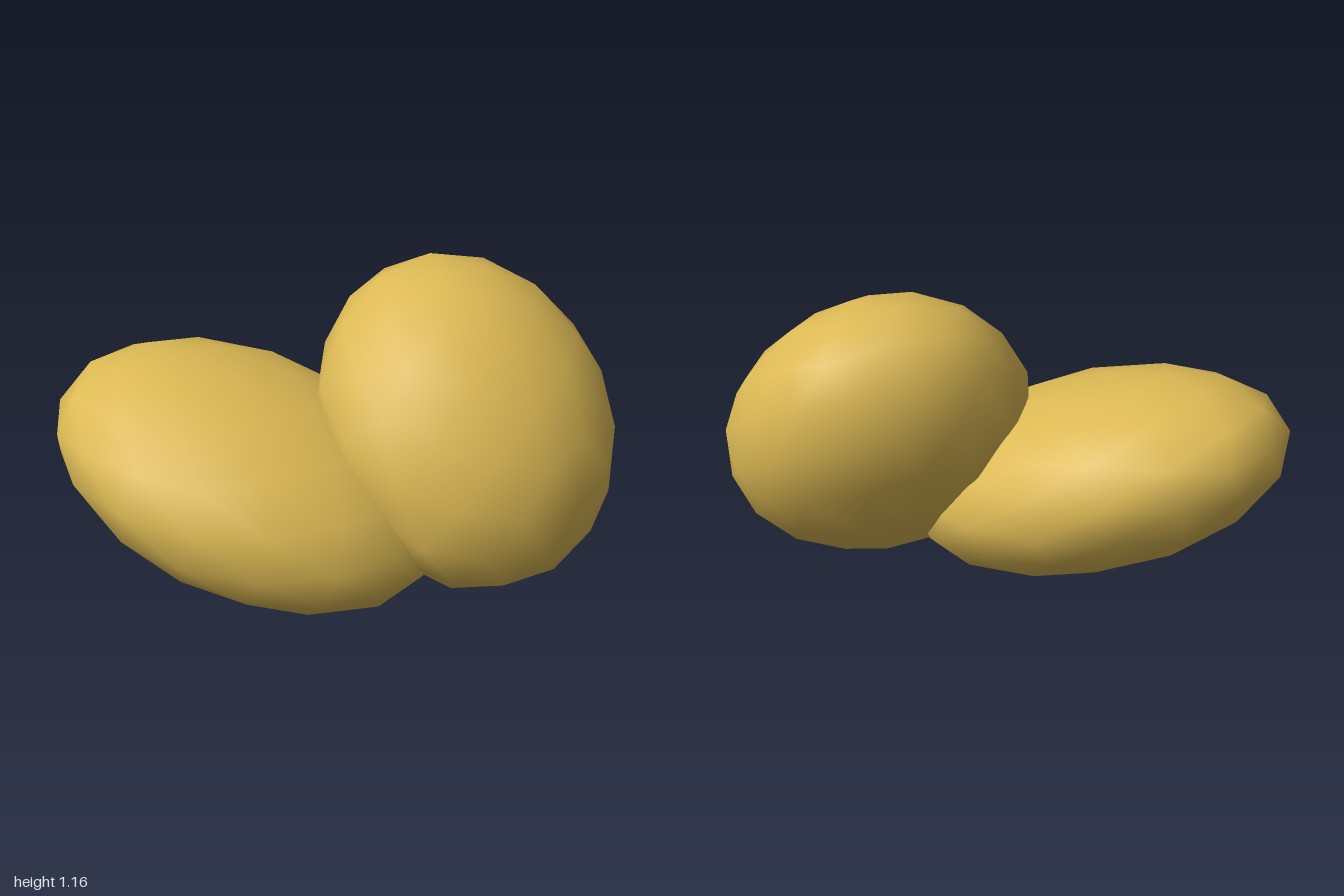
import * as THREE from 'three';
import { mergeVertices } from 'three/addons/utils/BufferGeometryUtils.js';

const gold = new THREE.MeshStandardMaterial({ color: 0xdcb954 });
gold.name = 'gold';

// Placement of a flattened pebble: radii along a long direction, a thin direction and their cross product
function placement(center, long, thin, radii) {
  const x = new THREE.Vector3(...long).normalize();
  const z = new THREE.Vector3().crossVectors(x, new THREE.Vector3(...thin)).normalize();
  const y = new THREE.Vector3().crossVectors(z, x);
  return new THREE.Matrix4().makeBasis(x, y, z)
    .scale(new THREE.Vector3(...radii)).setPosition(...center);
}

// Coarse, smoothly shaded pebble with a flat underside on the ground
function pebble(name, matrix, reshape) {
  let geometry = new THREE.IcosahedronGeometry(1, 2);
  geometry.deleteAttribute('uv');
  geometry.deleteAttribute('normal');
  geometry = mergeVertices(geometry).applyMatrix4(matrix);
  const p = geometry.attributes.position;
  const v = new THREE.Vector3();
  for (let i = 0; i < p.count; i++) {
    reshape(v.fromBufferAttribute(p, i));
    p.setXYZ(i, v.x, Math.max(v.y, 0), v.z);
  }
  geometry.computeVertexNormals();
  const mesh = new THREE.Mesh(geometry, gold);
  mesh.name = name;
  return mesh;
}

export function createModel() {
  const group = new THREE.Group();
  group.name = 'pebblePair';
  // Upright pebble leaning back
  const upright = placement([0.425, 0.588, 0.235],
    [0, 0.758, -0.652], [0, 0.652, 0.758], [0.66, 0.435, 0.58]);
  // Flatter pebble lying behind it, tilted forward
  const lying = placement([-0.33, 0.405, -0.105],
    [0.626, -0.336, 0.704], [0.158, 0.938, 0.308], [0.777, 0.372, 0.606]);

  // The upright pebble swells a little where it meets the lying one
  const toLying = lying.clone().invert();
  const heart = new THREE.Vector3().setFromMatrixPosition(upright);
  const swell = v => {
    const gap = Math.abs(v.clone().applyMatrix4(toLying).length() - 1);
    v.sub(heart).multiplyScalar(1 + 0.08 * Math.max(0, 1 - gap / 0.4) ** 2).add(heart);
  };
  group.add(pebble('uprightPebble', upright, swell), pebble('lyingPebble', lying, () => {}));
  return group;
}
